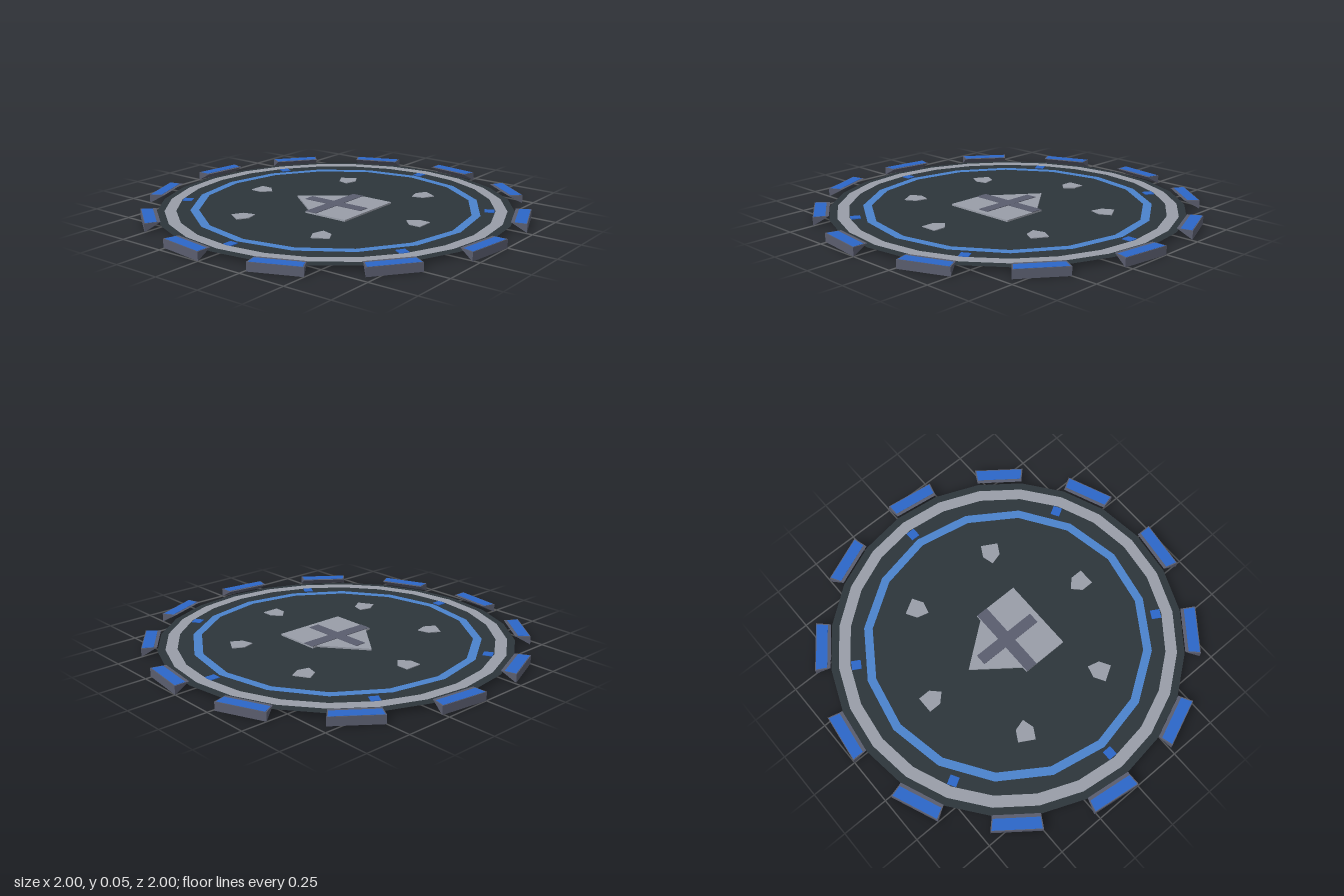
import * as THREE from 'three';

const mat = (name, color, side = THREE.FrontSide) => {
  const m = new THREE.MeshStandardMaterial({ color, side });
  m.name = name;
  return m;
};

export function createModel() {
  const root = new THREE.Group();
  root.name = 'landingPad';
  const slate = mat('dark slate', 0x2d353b, THREE.DoubleSide);
  const light = mat('light grey', 0x989da8);
  const steel = mat('steel grey', 0x5a5d6e);
  const deepBlue = mat('deep blue', 0x2c66c8);
  const ringBlue = mat('ring blue', 0x4a82cc);
  const DECK = 0.024, STEP = Math.PI / 12;

  const add = (name, geometry, material, parent = root) => {
    const mesh = new THREE.Mesh(geometry, material);
    mesh.name = name;
    parent.add(mesh);
    return mesh;
  };
  // Horizontal plate from an outline of [x, z] points
  const plate = (points, top, depth) => {
    const shape = new THREE.Shape(points.map(([x, z]) => new THREE.Vector2(x, z)));
    return new THREE.ExtrudeGeometry(shape, { depth, bevelEnabled: false })
      .rotateX(Math.PI / 2).translate(0, top, 0);
  };
  const rect = (x0, x1, z0, z1) => [[x0, z0], [x1, z0], [x1, z1], [x0, z1]];
  const ring = (inner, outer, sides, y) =>
    new THREE.RingGeometry(inner, outer, sides).rotateX(-Math.PI / 2).translate(0, y, 0);

  // Thin deck and its painted rings
  add('deck', new THREE.CircleGeometry(0.92, 24).rotateX(-Math.PI / 2).translate(0, DECK, 0), slate);
  add('outerRing', ring(0.82, 0.88, 24, DECK + 0.003), light);
  add('innerRing', ring(0.705, 0.75, 16, DECK + 0.003), ringBlue);

  // Rim wedge: triangular section swept over one side of a 24-sided ring
  const wedge = () => {
    const section = [[0.92, 0.0445], [1, 0.0445], [1, 0]];
    const [A, B, C] = section.map(([r, y]) => [0, STEP].map((a) => [r * Math.cos(a), y, r * Math.sin(a)]));
    const quad = (p, q) => [p[0], p[1], q[1], p[0], q[1], q[0]];
    const corners = [
      ...quad(A, B), ...quad(B, C), ...quad(C, A),
      A[0], B[0], C[0], A[1], C[1], B[1],
    ];
    const g = new THREE.BufferGeometry();
    g.setAttribute('position', new THREE.Float32BufferAttribute(corners.flat(), 3));
    g.computeVertexNormals();
    return g;
  };
  const wedgeGeo = wedge();
  const polar = (r, a) => [r * Math.cos(a), r * Math.sin(a)];
  const e = 0.006;
  const panelGeo = plate(
    [polar(0.937, e), polar(0.995, e), polar(0.995, STEP - e), polar(0.937, STEP - e)], 0.0455, 0.001);
  for (let i = 0; i < 12; i++) {
    const block = new THREE.Group();
    block.name = 'rimBlock';
    block.rotation.y = -i * STEP * 2;
    add('rimWedge', wedgeGeo, steel, block);
    add('rimPanel', panelGeo, deepBlue, block);
    root.add(block);
  }

  // Inward arrows and small lamps, six of each
  const arrowGeo = plate(
    [[0.55, -0.045], [0.55, 0.045], [0.485, 0.045], [0.44, 0], [0.485, -0.045]], DECK + 0.004, 0.004);
  const lampGeo = plate(rect(0.765, 0.815, -0.024, 0.024), DECK + 0.004, 0.004);
  for (let i = 0; i < 6; i++) {
    add('arrow', arrowGeo, light).rotation.y = Math.PI / 6 + i * Math.PI / 3;
    add('lamp', lampGeo, deepBlue).rotation.y = i * Math.PI / 3;
  }

  // Central pointer with a cross on top
  add('pointer', plate(
    [[-0.2, 0.21], [0.2, 0.21], [0.2, -0.04], [0.17, -0.04], [0, -0.26], [-0.17, -0.04], [-0.2, -0.04]],
    0.034, 0.009), light);
  add('crossLong', plate(rect(-0.03, 0.03, -0.18, 0.18), 0.037, 0.003), steel);
  add('crossWide', plate(rect(-0.2, 0.2, -0.037, 0.027), 0.0365, 0.0025), steel);

  return root;
}
